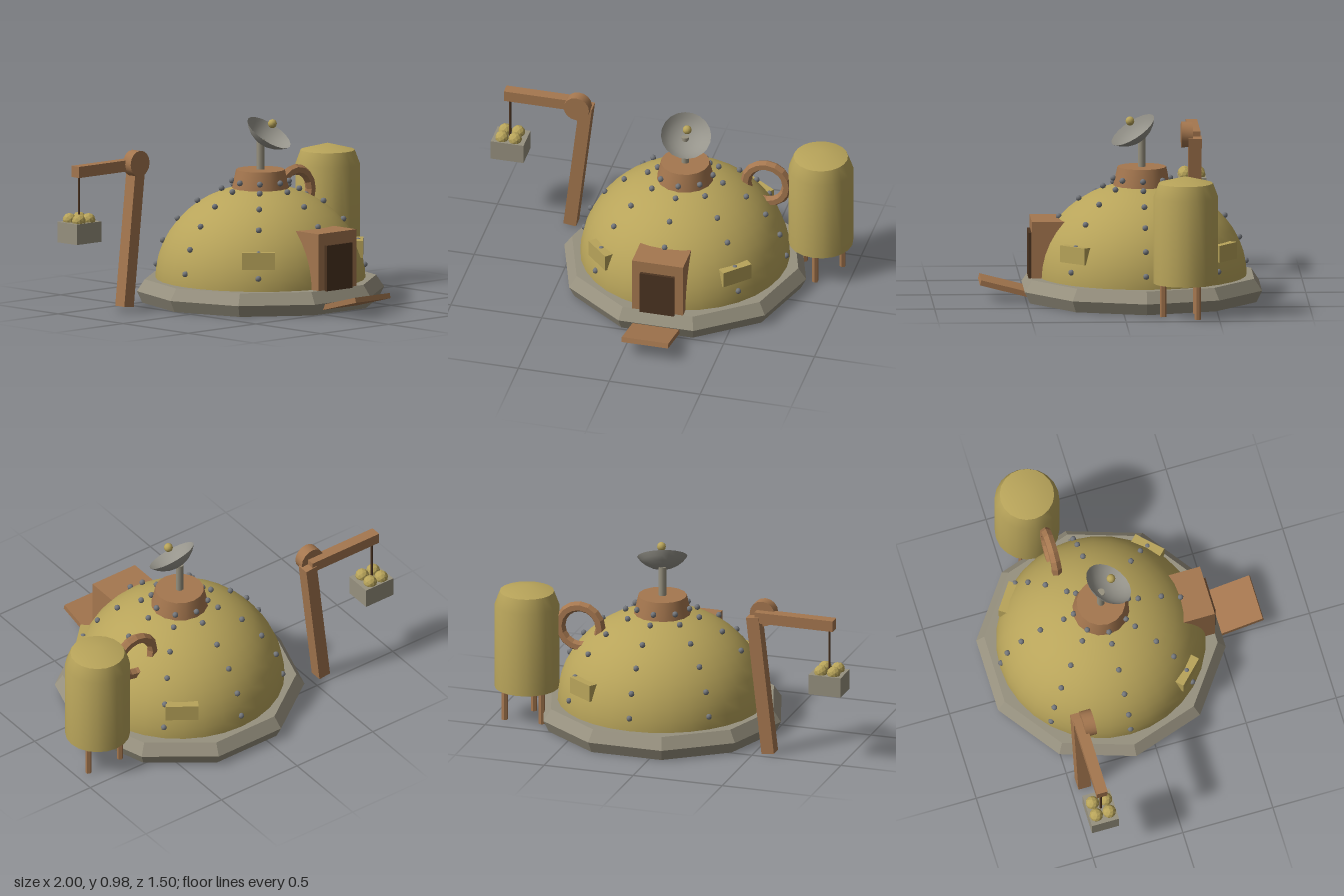
import * as THREE from 'three';
import { toCreasedNormals } from 'three/addons/utils/BufferGeometryUtils.js';

const mat = (name, color) => {
  const m = new THREE.MeshStandardMaterial({ color });
  m.name = name;
  return m;
};

export function createModel() {
  const yellow = mat('ochre paint', 0xb8a45a);
  const brown = mat('rusty brown', 0xa5774f);
  const grey = mat('warm grey', 0x97917f);
  const steel = mat('steel grey', 0x74777c);
  const dark = mat('dark brown', 0x4c3421);
  const greyOpen = mat('dish grey', 0x97958c);
  greyOpen.side = THREE.DoubleSide;

  const root = new THREE.Group();
  root.name = 'domeOutpost';
  const group = (name, x = 0, y = 0, z = 0) => {
    const g = new THREE.Group();
    g.name = name;
    g.position.set(x, y, z);
    root.add(g);
    return g;
  };
  const add = (parent, name, geo, m, x = 0, y = 0, z = 0) => {
    const mesh = new THREE.Mesh(geo, m);
    mesh.name = name;
    mesh.position.set(x, y, z);
    parent.add(mesh);
    return mesh;
  };
  const crease = (geo, angle = 0.6) => toCreasedNormals(geo, angle);
  const lathe = (pts, seg) =>
    new THREE.LatheGeometry(pts.map(([r, y]) => new THREE.Vector2(r, y)), seg);
  const box = (w, h, d) => new THREE.BoxGeometry(w, h, d);

  // Dome, ten-sided foundation and top collar share one axis
  const hab = group('habitat', 0.13, 0, -0.12);
  const base = lathe([[0, 0], [0.635, 0], [0.665, 0.062], [0.622, 0.125], [0, 0.125]], 10);
  base.rotateY(Math.PI / 2);
  add(hab, 'foundation', crease(base, 0.1), grey);

  const shell = new THREE.SphereGeometry(0.56, 32, 12, 0, Math.PI * 2, 0, Math.PI / 2);
  shell.scale(1, 0.505 / 0.56, 1);
  add(hab, 'domeShell', shell, yellow, 0, 0.12, 0);
  add(hab, 'collar', crease(new THREE.CylinderGeometry(0.13, 0.158, 0.125, 16)), brown, 0, 0.6425, 0);

  // Windows: blocks sunk into the sloping shell
  for (const a of [45, -45, 145]) {
    const t = THREE.MathUtils.degToRad(a);
    const w = add(hab, 'window', box(0.175, 0.09, 0.05), yellow, Math.sin(t) * 0.522, 0.287, Math.cos(t) * 0.522);
    w.rotation.y = t;
  }

  // Rivets: eight meridians on the shell plus a ring round the collar
  const rivet = new THREE.SphereGeometry(0.016, 8, 6);
  const rows = [[0.555, 0.195], [0.52, 0.323], [0.442, 0.44], [0.336, 0.537], [0.207, 0.603], [0.152, 0.644]];
  for (let i = 0; i < 8; i++) {
    const t = (i * Math.PI) / 4;
    for (const [r, y] of rows) add(hab, 'rivet', rivet, steel, Math.sin(t) * r, y, Math.cos(t) * r);
  }

  // Mast and tilted dish with its receiver ball
  add(hab, 'mast', new THREE.CylinderGeometry(0.021, 0.021, 0.17, 10), grey, 0, 0.78, 0);
  const dish = group('dish', 0.147, 0.905, -0.072);
  dish.quaternion.setFromUnitVectors(
    new THREE.Vector3(0, 1, 0), new THREE.Vector3(0.2, 0.82, 0.53).normalize());
  const bowl = [];
  for (let i = 0; i <= 5; i++) {
    const t = (i / 5) * 0.96;
    bowl.push([0.164 * Math.sin(t), 0.094 - 0.164 * Math.cos(t)]);
  }
  add(dish, 'bowl', lathe(bowl, 20), greyOpen);
  add(root, 'receiver', new THREE.SphereGeometry(0.024, 10, 8), yellow, 0.157, 0.954, -0.056);

  // Entrance porch, door and ramp
  const entry = group('entrance', 0.13, 0, 0);
  add(entry, 'porch', box(0.28, 0.31, 0.27), brown, 0, 0.275, 0.337);
  add(entry, 'door', box(0.188, 0.245, 0.03), dark, 0, 0.2425, 0.473);
  const ramp = add(entry, 'ramp', box(0.256, 0.028, 0.31), brown, 0, 0.064, 0.594);
  ramp.rotation.x = -0.25;

  // Storage tank on three legs
  const tank = group('tank', 0.823, 0, -0.325);
  const tankProfile = [[0, 0.182], [0.173, 0.182], [0.173, 0.645], [0.145, 0.72], [0, 0.757]];
  add(tank, 'tankBody', crease(lathe(tankProfile, 20), 0.75), yellow);
  for (let i = 0; i < 3; i++) {
    const t = (i * Math.PI * 2) / 3;
    add(tank, 'tankLeg', crease(new THREE.CylinderGeometry(0.017, 0.017, 0.2, 6), 0.2), brown,
      Math.sin(t) * 0.12, 0.1, Math.cos(t) * 0.12);
  }

  // Ring pipe joining tank and dome
  add(root, 'pipe', crease(new THREE.TorusGeometry(0.113, 0.029, 6, 16), 0.2), brown, 0.538, 0.534, -0.277);

  // Crane with leaning post, pivot, boom, rope and loaded crate
  const crane = group('crane', 0, 0, -0.43);
  const post = add(crane, 'cranePost', box(0.07, 0.765, 0.07), brown, -0.533, 0.385, 0);
  post.rotation.z = -0.114;
  add(crane, 'boom', box(0.44, 0.06, 0.06), brown, -0.72, 0.765, 0);
  const pivot = add(crane, 'pivot', crease(new THREE.CylinderGeometry(0.07, 0.07, 0.06, 16)), brown, -0.53, 0.775, 0.042);
  pivot.rotation.x = Math.PI / 2;
  add(crane, 'rope', new THREE.CylinderGeometry(0.006, 0.006, 0.25, 6), dark, -0.912, 0.615, 0);
  add(crane, 'crate', box(0.18, 0.11, 0.15), grey, -0.91, 0.44, 0);
  const ore = crease(new THREE.IcosahedronGeometry(0.037, 1), 0.1);
  for (const dx of [-0.036, 0.036])
    for (const dz of [-0.036, 0.036])
      add(crane, 'ore', ore, yellow, -0.912 + dx, 0.505, dz);

  return root;
}
